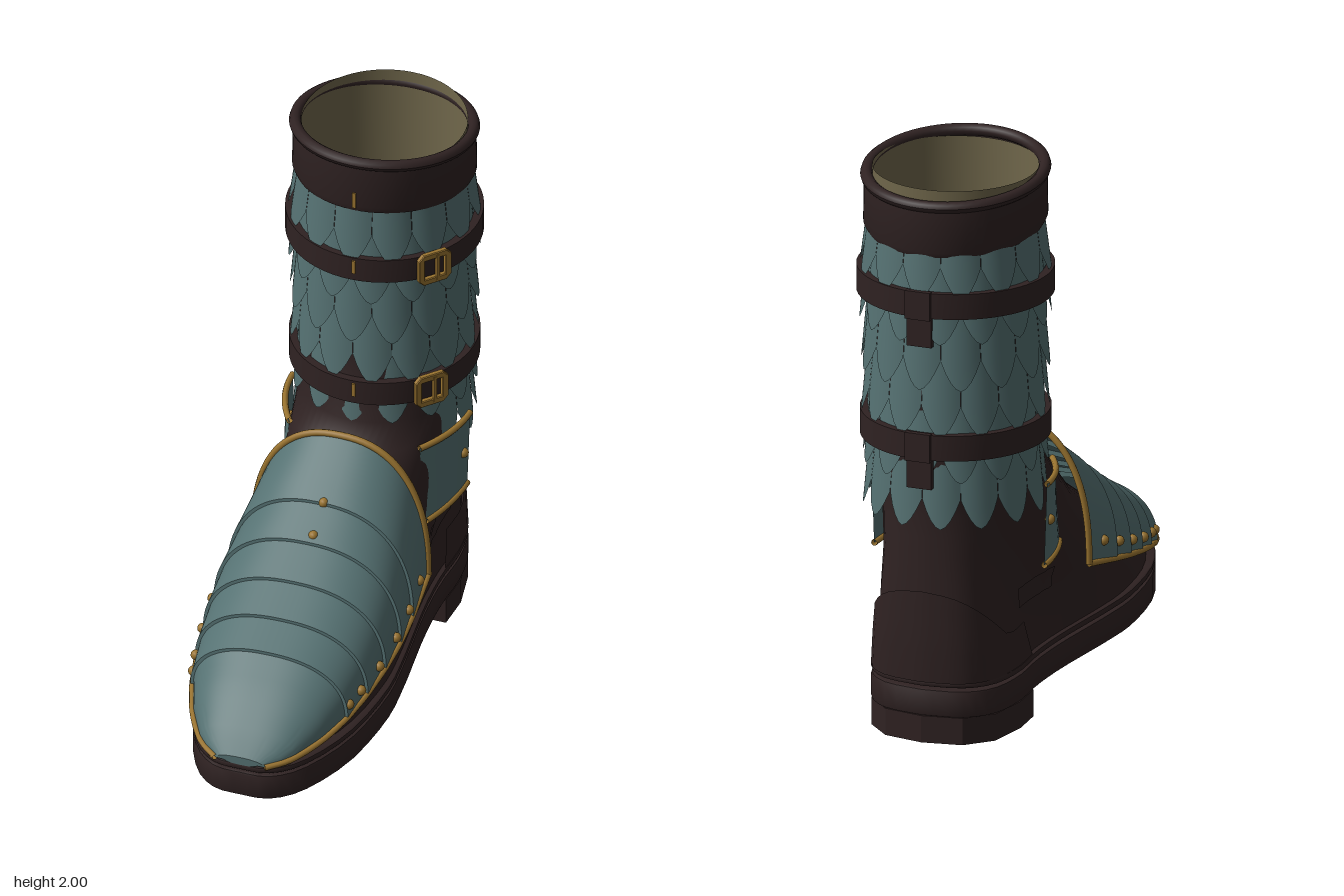
import * as THREE from 'three';
import { mergeGeometries, toCreasedNormals } from 'three/addons/utils/BufferGeometryUtils.js';

const material = (name, color) => {
  const m = new THREE.MeshStandardMaterial({ color, side: THREE.DoubleSide });
  m.name = name;
  return m;
};
const ZC = -0.52; // axis of the shaft

// Surface patch: fn(u, v) gives [x, y, z] for u, v in 0..1
function grid(nu, nv, fn, closed = false) {
  const pos = [], index = [], cols = closed ? nu : nu + 1;
  for (let j = 0; j <= nv; j++)
    for (let i = 0; i < cols; i++) pos.push(...fn(i / nu, j / nv));
  for (let j = 0; j < nv; j++)
    for (let i = 0; i < nu; i++) {
      const a = j * cols + i, b = j * cols + (i + 1) % cols;
      index.push(a, a + cols, b, b, a + cols, b + cols);
    }
  const g = new THREE.BufferGeometry();
  g.setAttribute('position', new THREE.Float32BufferAttribute(pos, 3));
  g.setIndex(index);
  g.computeVertexNormals();
  return g;
}

// Piecewise linear lookup; rows are [key, value, value, ...]
function lookup(rows, k) {
  let i = 0;
  while (i < rows.length - 2 && k > rows[i + 1][0]) i++;
  const a = rows[i], b = rows[i + 1];
  const t = THREE.MathUtils.clamp((k - a[0]) / (b[0] - a[0]), 0, 1);
  return a.slice(1).map((v, n) => v + (b[n + 1] - v) * t);
}

// Ring on the shaft, angle 0 at the back; the tilt raises the front
const ring = (u, rx, rz, y, tilt = 0) => {
  const a = u * Math.PI * 2;
  return [rx * Math.sin(a), y - tilt * Math.cos(a), ZC - rz * Math.cos(a)];
};
// Band around the shaft from a profile of [rx, rz, y, tilt]
const band = (profile) => toCreasedNormals(grid(64, profile.length - 1,
  (u, v) => ring(u, ...profile[Math.round(v * (profile.length - 1))]), true), 0.7);

// Sole outline, half of it, from heel to toe
const halfOutline = new THREE.SplineCurve([[0, -.83], [.14, -.805], [.225, -.72], [.255, -.57], [.25, -.4],
  [.262, -.2], [.3, .1], [.312, .3], [.28, .56], [.195, .77], [.1, .86], [0, .87]]
  .map(p => new THREE.Vector2(...p))).getPoints(32);
const outlineAt = (u) => {
  const i = Math.round(u * 64);
  return i <= 32 ? halfOutline[i] : new THREE.Vector2(-halfOutline[64 - i].x, halfOutline[64 - i].y);
};
function soleSlab(y0, y1, bevel, scale = 1) {
  const pts = [];
  for (let i = 0; i < 64; i++) pts.push(new THREE.Vector2(outlineAt(i / 64).x * scale, -outlineAt(i / 64).y));
  const g = new THREE.ExtrudeGeometry(new THREE.Shape(pts), { depth: y1 - y0 - 2 * bevel,
    bevelEnabled: bevel > 0, bevelSize: bevel, bevelThickness: bevel, bevelOffset: -bevel, bevelSegments: 2 });
  g.rotateX(-Math.PI / 2).translate(0, y0 + bevel, 0);
  return toCreasedNormals(g, 0.6);
}

// Leather upper: height, front z, back z, half width, roundness
const LEVELS = [[.22, .82, -.82, .29, 0], [.35, .64, -.82, .275, 0], [.5, .4, -.815, .268, .2],
  [.65, .15, -.81, .262, .5], [.8, -.03, -.805, .268, .8], [.86, -.1, -.81, .27, .9],
  [.93, -.2, -.82, .28, 1], [1.2, -.22, -.82, .285, 1], [1.9, -.22, -.82, .285, 1]];
function bodyPoint(u, y) {
  const [front, back, w, s] = lookup(LEVELS, y), p = outlineAt(u), a = u * Math.PI * 2;
  const t = THREE.MathUtils.lerp((p.y + .83) / 1.7, (1 - Math.cos(a)) / 2, s);
  return [w * THREE.MathUtils.lerp(p.x / .312, Math.sin(a), s), y, back + (front - back) * t];
}
function bodyX(y, z) { // half width of the upper at a height and depth
  let best = [0, 0, 9];
  for (let i = 0; i <= 32; i++) {
    const p = bodyPoint(i / 64, y);
    if (Math.abs(p[2] - z) < Math.abs(best[2] - z)) best = p;
  }
  return best[0];
}

// Toe armour: z, half width, crest height
const TOE = [[-.1, .31, .93], [.1, .325, .78], [.22, .327, .695], [.345, .318, .615], [.47, .3, .545],
  [.59, .272, .485], [.7, .23, .41], [.8, .17, .325], [.85, .12, .275], [.87, .085, .25]];
const POW = 2.4;
const toeBase = (z) => .44 - (z + .1) * .2165;
function toePoint(u, z, lift = 0) {
  const [w, top] = lookup(TOE, z), a = u * Math.PI, c = Math.cos(a), yb = toeBase(z);
  return [(w + lift) * Math.sign(c) * Math.abs(c) ** (2 / POW),
    yb + (top + lift - yb) * Math.abs(Math.sin(a)) ** (2 / POW), z];
}

// Row of pointed scales hanging round the shaft
function scaleRow(tip, top, rx, shift, skipFront, tilt) {
  const n = 14, parts = [];
  for (let k = 0; k < n; k++) {
    const mid = (k + shift) / n;
    if (skipFront && Math.abs((mid % 1) - .5) < .12) continue;
    parts.push(grid(8, 4, (u, v) => {
      const s = Math.abs(u * 2 - 1), bottom = tip + .1 * s ** 1.7;
      const a = mid + (u - .5) * .99 / n;
      const yTop = top - tilt * Math.cos(a * Math.PI * 2);
      const y = yTop + (bottom - yTop) * v;
      const r = rx - .022 + .024 * (top - y) / (top - tip) - .008 * s * s;
      return ring(a, r, r + .008, y);
    }));
  }
  return mergeGeometries(parts);
}

export function createModel() {
  const model = new THREE.Group();
  const leather = material('dark brown leather', 0x2f2222);
  const plate = material('teal plate', 0x557172);
  const gold = material('aged gold', 0x9a7430);
  const cloth = material('olive lining', 0x70674b);
  const add = (name, geo, mat, parent = model) => {
    const m = new THREE.Mesh(geo, mat);
    m.name = name;
    parent.add(m);
    return m;
  };
  const tube = (name, pts, r = .011, closed = false) => add(name, new THREE.TubeGeometry(
    new THREE.CatmullRomCurve3(pts.map(p => new THREE.Vector3(...p)), closed), 48, r, 8, closed), gold);
  const steps = (n, fn) => Array.from({ length: n + 1 }, (_, i) => fn(i / n));

  // Sole, welt and heel block
  add('sole', soleSlab(.095, .19, .008), leather);
  add('welt', soleSlab(.2, .222, .006), leather);
  const heel = new THREE.Shape([[-.25, .44], [.25, .44], [.255, .57], [.225, .72], [.14, .805], [0, .83],
    [-.14, .805], [-.225, .72], [-.255, .57]].map(p => new THREE.Vector2(...p)));
  add('heel', new THREE.ExtrudeGeometry(heel, { depth: .095, bevelEnabled: false })
    .rotateX(-Math.PI / 2), leather);

  // Upper, heel counter and side tabs
  const ys = [.22, .28, .35, .42, .5, .58, .65, .72, .8, .86, .93, 1.2, 1.9];
  add('upper', grid(64, ys.length - 1, (u, v) => bodyPoint(u, ys[Math.round(v * (ys.length - 1))]), true), leather);
  add('heelCounter', grid(22, 6, (u, v) => {
    const uu = (Math.round(u * 22) - 11 + 64) % 64 / 64;
    const z0 = bodyPoint(uu, .22)[2];
    const top = THREE.MathUtils.clamp(.37 + (-.62 - z0) * .85, .35, .54);
    const p = bodyPoint(uu, .22 + (top - .22) * v);
    return [p[0] * 1.06, p[1], -.45 + (p[2] + .45) * 1.065];
  }), leather);
  for (const side of [1, -1]) {
    add('sideTab', grid(8, 2, (u, v) => {
      const z = -.53 + .26 * u, y = .41 + .07 * v;
      return [side * (bodyX(y, z) + .012), y, z];
    }), leather);
  }

  // Cuff, rolled rim and lining
  add('cuff', band([[.3, .312, 1.76, .03], [.31, .318, 1.78, .033], [.308, .314, 1.94, .036]]), leather);
  add('rim', grid(64, 10, (u, v) => {
    const a = v * Math.PI * 2, r = .3 + .021 * Math.cos(a);
    return ring(u, r, r + .002, 1.942 + .021 * Math.sin(a), .037);
  }, true), leather);
  add('lining', band([[.272, .28, 1.0, 0], [.28, .285, 1.96, 0]]), cloth);

  // Scale rows, each overlapping the one below
  for (let i = 0; i < 6; i++) {
    const tip = 1.59 - i * .165;
    add('scaleRow', scaleRow(tip, i ? tip + .27 : 1.775, .324 - i * .003, (i % 2) / 2, i === 5, i ? 0 : .03), plate);
  }

  // Straps with back loops, backing patches, buckles and front stitches
  for (const [y, rx] of [[1.565, .334], [1.06, .32]]) {
    add('strap', band([[rx - .03, .31, y - .045, 0], [rx, .336, y - .045, 0], [rx, .336, y + .045, 0],
      [rx - .03, .31, y + .045, 0]]), leather);
    add('strapLoop', new THREE.BoxGeometry(.09, .1, .02).translate(0, y, ZC - .337), leather);
    add('backPatch', new THREE.BoxGeometry(.09, .12, .02).translate(0, y - .09, ZC - .322), leather);
    const buckle = new THREE.Group();
    buckle.name = 'buckle';
    const frame = new THREE.Shape([[-.06, -.04], [-.042, -.058], [.042, -.058], [.06, -.04], [.06, .04],
      [.042, .058], [-.042, .058], [-.06, .04]].map(p => new THREE.Vector2(...p)));
    frame.holes.push(new THREE.Path([[-.042, -.04], [-.042, .04], [.042, .04], [.042, -.04]]
      .map(p => new THREE.Vector2(...p))));
    add('buckleFrame', new THREE.ExtrudeGeometry(frame, { depth: .014, bevelEnabled: true, bevelSize: .003,
      bevelThickness: .003, bevelSegments: 1 }), gold, buckle);
    add('bucklePin', new THREE.BoxGeometry(.012, .1, .012).translate(.01, 0, .012), gold, buckle);
    buckle.position.set(rx * .77, y, ZC + .336 * .66);
    buckle.rotation.y = .86;
    model.add(buckle);
    add('stitch', new THREE.BoxGeometry(.012, .05, .008).translate(.015, y + .01, ZC + .338), gold);
  }
  add('cuffStitch', new THREE.BoxGeometry(.012, .06, .008).translate(.01, 1.835, ZC + .318), gold);

  // Overlapping toe plates
  const seams = [-.1, .1, .22, .345, .47, .59, .87];
  for (let k = 0; k < 6; k++) {
    const z0 = seams[k], z1 = seams[k + 1], last = k === 5, n = last ? 9 : 5;
    add('toePlate', toCreasedNormals(grid(40, n, (u, v) => {
      const t = Math.min(1, v * n / (n - 1)), lip = v === 1;
      const lift = lip ? (last ? -.03 : -.006) : last ? 0 : .011 * t;
      return toePoint(u, z0 + (z1 - z0) * t, lift);
    }), 0.6), plate);
  }

  // Gold edging and rivets on the toe armour
  tube('toeBackTrim', steps(32, u => toePoint(u, -.1, .004)), .012);
  const rivet = (x, y, z) => add('rivet', new THREE.SphereGeometry(.018, 12, 8).translate(x, y, z), gold);
  for (const side of [1, -1]) {
    tube('toeSideTrim', steps(20, t => {
      const z = -.1 + .97 * t;
      return [side * (lookup(TOE, z)[0] + .004), toeBase(z), z];
    }));
    for (const [z, y] of [[.57, .34], [.5, .355], [.38, .38], [.25, .415], [.13, .45], [.01, .49]]) {
      const [w, top] = lookup(TOE, z), t = (y - toeBase(z)) / (top - toeBase(z));
      rivet(side * ((w + .006) * (1 - t ** POW) ** (1 / POW)), y, z);
    }
  }
  rivet(.01, .785, .09);
  rivet(.01, .715, .19);

  // Ankle guards with gold edges
  for (const side of [1, -1]) {
    const guard = (u, v) => [side * (.318 - .01 * (1 - v) - (.05 + .035 * v) * u * u), .56 + .29 * v, -.49 + .26 * u];
    add('ankleGuard', grid(10, 4, guard), plate);
    for (const v of [0, 1]) tube('ankleTrim', steps(10, u => guard(u, v)));
    rivet(...guard(.17, .52));
  }
  return model;
}
